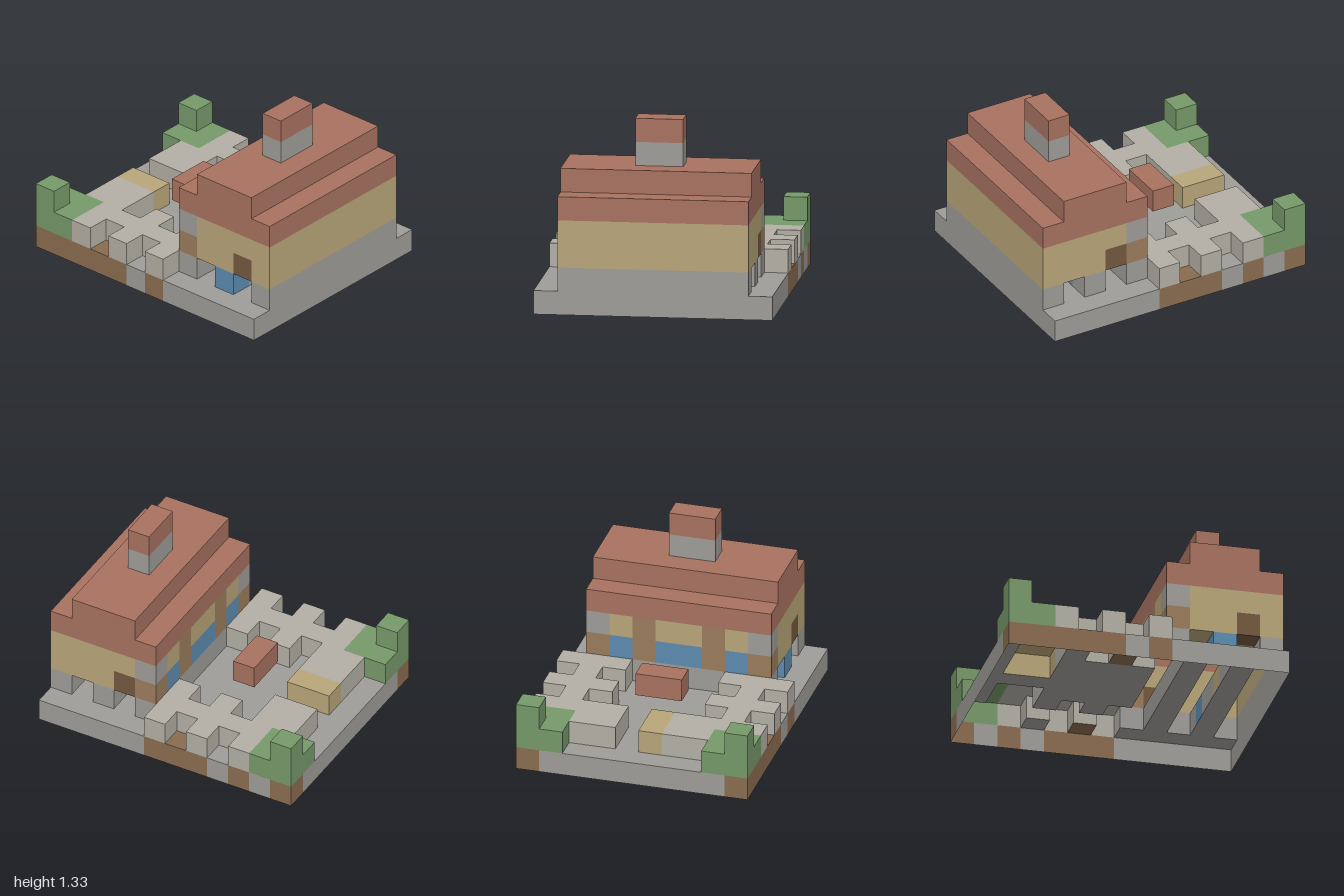
import * as THREE from 'three';
import { mergeGeometries } from 'three/addons/utils/BufferGeometryUtils.js';

const U = 1 / 6; // edge of one block
const NX = 10, NZ = 12;
const COLORS = {
  stone: 0x9f9d99, paving: 0xb3afa5, roof: 0xa87260, plaster: 0xb8a579,
  timber: 0x9a7c5c, soil: 0x8a6c50, dark: 0x73593f, glass: 0x5c8bb0, hedge: 0x76996a,
};

// Garden seen from above, back row first, x from -0.83 to 0.83:
// G tall hedge, g hedge, p raised paving, t plaster bench, . stone path, s bare soil
const GARDEN = [
  'Gg......gG',
  'ggppt.ppgg',
  'ppppt.pppp',
  'sp......p.',
  'ppp....ppp',
  '.ps.....ps',
  'ppp....ppp',
];

export function createModel() {
  const model = new THREE.Group();
  const cells = new Map();
  const key = (i, j, k) => `${i},${j},${k}`;
  const put = (part, color, i, j, k) => cells.set(key(i, j, k), { part, color, i, j, k });
  // Fill an inclusive block range
  const fill = (part, color, [i0, i1], [j0, j1], [k0, k1]) => {
    for (let i = i0; i <= i1; i++)
      for (let j = j0; j <= j1; j++)
        for (let k = k0; k <= k1; k++) put(part, color, i, j, k);
  };

  // Ground slab with soil patches along its edges
  fill('ground', 'stone', [0, 9], [0, 0], [0, 11]);
  for (const k of [0, 1, 2, 3, 4, 6]) put('ground', 'soil', 0, 0, k);
  for (const k of [0, 2, 4, 5, 6]) put('ground', 'soil', 9, 0, k);

  // Garden: hedges, raised paving and bench
  GARDEN.forEach((row, k) => [...row].forEach((c, i) => {
    if (c === 's') put('ground', 'soil', i, 0, k);
    if (c === 'p') put('paving', 'paving', i, 1, k);
    if (c === 't') put('bench', 'plaster', i, 1, k);
    if (c === 'g' || c === 'G') put('hedge', 'hedge', i, 1, k);
    if (c === 'G') put('hedge', 'hedge', i, 2, k);
  }));
  fill('gardenBlock', 'roof', [4, 5], [2, 2], [4, 4]);

  // Foundation: three sleeper walls with open gaps between
  for (const k of [7, 9, 11]) fill('foundation', 'stone', [1, 8], [1, 1], [k, k]);
  put('foundation', 'glass', 1, 1, 9);
  put('foundation', 'glass', 7, 1, 9);
  put('foundation', 'plaster', 4, 1, 9);

  // House walls
  fill('walls', 'plaster', [1, 8], [2, 3], [7, 11]);
  put('walls', 'dark', 8, 2, 8);
  put('walls', 'dark', 1, 2, 10);

  // Back wall: timber posts, stone corners and windows
  for (const i of [3, 6]) fill('post', 'timber', [i, i], [2, 3], [7, 7]);
  for (const i of [1, 8]) {
    put('post', 'timber', i, 2, 7);
    put('cornerStone', 'stone', i, 3, 7);
  }
  for (const i of [2, 4, 5, 7]) put('window', 'glass', i, 2, 7);

  // Stepped roof and chimney
  fill('roof', 'roof', [1, 8], [4, 4], [7, 11]);
  fill('roof', 'roof', [1, 8], [5, 5], [8, 10]);
  fill('chimney', 'stone', [4, 5], [6, 6], [9, 9]);
  fill('chimney', 'roof', [4, 5], [7, 7], [9, 9]);

  // One face per block side, turned outward
  const sides = [
    [1, 0, 0], [-1, 0, 0], [0, 1, 0], [0, -1, 0], [0, 0, 1], [0, 0, -1],
  ].map((d) => {
    const geo = new THREE.PlaneGeometry(U, U).translate(0, 0, U / 2);
    const turn = new THREE.Quaternion().setFromUnitVectors(
      new THREE.Vector3(0, 0, 1), new THREE.Vector3(...d));
    if (d[2] === -1) geo.rotateY(Math.PI);
    else geo.applyQuaternion(turn);
    return { d, geo };
  });

  // Keep only exposed faces; the underside of the slab stays open
  const batches = new Map();
  for (const { part, color, i, j, k } of cells.values()) {
    for (const { d, geo } of sides) {
      if (cells.has(key(i + d[0], j + d[1], k + d[2]))) continue;
      if (j + d[1] < 0) continue;
      const id = `${part}|${color}`;
      if (!batches.has(id)) batches.set(id, []);
      batches.get(id).push(geo.clone().translate(
        (i + 0.5 - NX / 2) * U, (j + 0.5) * U, (k + 0.5 - NZ / 2) * U));
    }
  }

  // One group per part, one mesh per colour
  const materials = {};
  for (const [id, faces] of batches) {
    const [part, color] = id.split('|');
    let group = model.getObjectByName(part);
    if (!group) {
      group = new THREE.Group();
      group.name = part;
      model.add(group);
    }
    materials[color] ??= new THREE.MeshStandardMaterial({
      color: COLORS[color], side: THREE.DoubleSide,
    });
    const mesh = new THREE.Mesh(mergeGeometries(faces), materials[color]);
    mesh.name = `${part} ${color}`;
    group.add(mesh);
  }
  return model;
}
